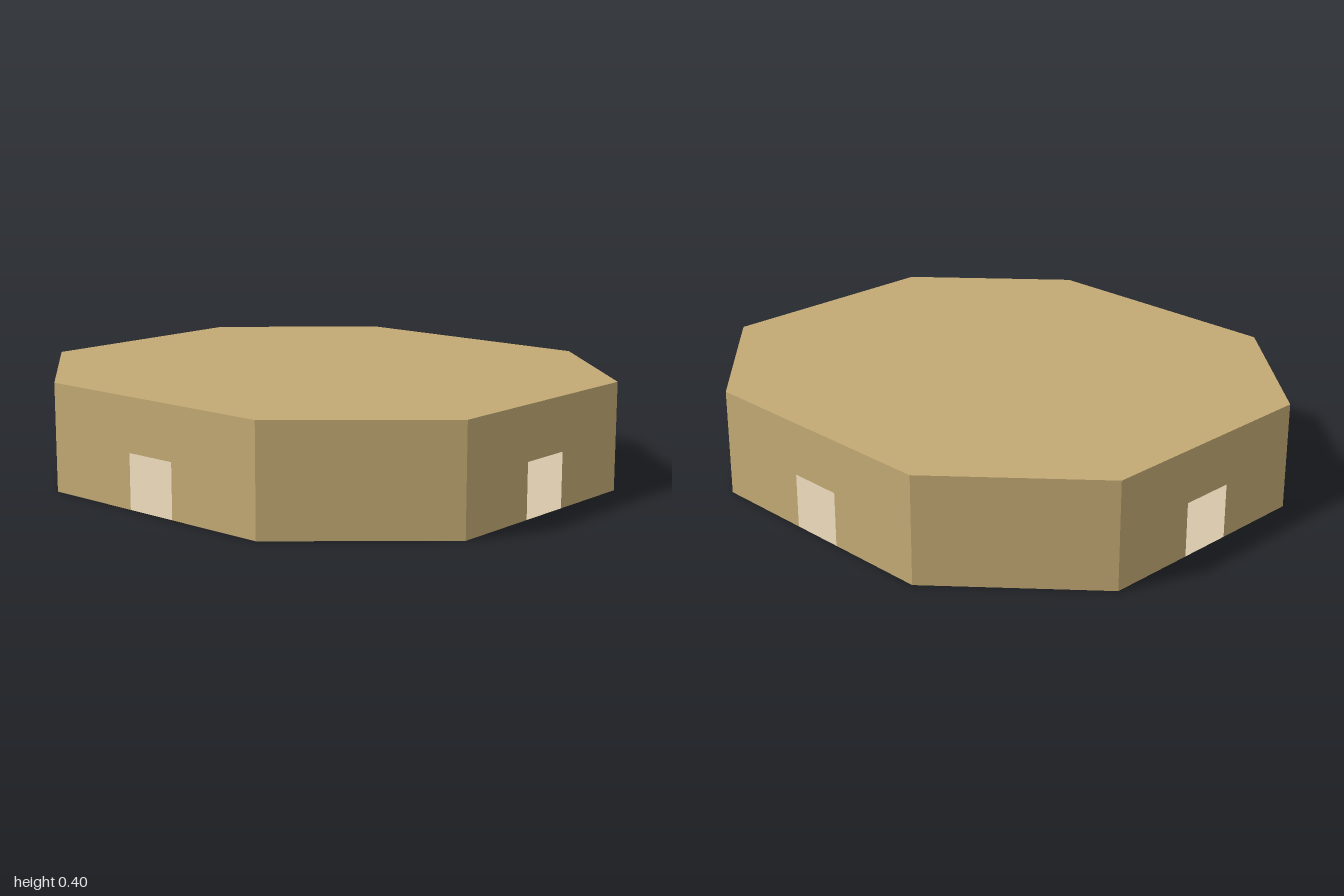
import * as THREE from 'three';

const HEIGHT = 0.4;
const DOOR_HALF = 0.104;
const DOOR_HEIGHT = 0.202;

// Corners as (x, z), going round so that each wall faces outward
const CORNERS = [
  [-0.495, 0.9], [0.495, 0.9], [1, 0.447], [1, -0.447],
  [0.495, -0.9], [-0.495, -0.9], [-1, -0.447], [-1, 0.447],
];

// Upright wall between two corners, with an optional doorway notch
function makeWall(a, b, hasDoor, material) {
  const dx = b[0] - a[0], dz = b[1] - a[1];
  const half = Math.hypot(dx, dz) / 2;
  const outline = [[-half, 0]];
  if (hasDoor) {
    outline.push([-DOOR_HALF, 0], [-DOOR_HALF, DOOR_HEIGHT], [DOOR_HALF, DOOR_HEIGHT], [DOOR_HALF, 0]);
  }
  outline.push([half, 0], [half, HEIGHT], [-half, HEIGHT]);
  const shape = new THREE.Shape(outline.map(([x, y]) => new THREE.Vector2(x, y)));
  const wall = new THREE.Mesh(new THREE.ShapeGeometry(shape), material);
  wall.position.set((a[0] + b[0]) / 2, 0, (a[1] + b[1]) / 2);
  wall.rotation.y = Math.atan2(-dz, dx);
  return wall;
}

// Flat octagonal slab facing up
function makeDeck(y, material) {
  const shape = new THREE.Shape(CORNERS.map(([x, z]) => new THREE.Vector2(x, -z)));
  const deck = new THREE.Mesh(new THREE.ShapeGeometry(shape).rotateX(-Math.PI / 2), material);
  deck.position.y = y;
  return deck;
}

export function createModel() {
  const sand = new THREE.MeshStandardMaterial({ name: 'sand', color: 0xc2a974, side: THREE.DoubleSide });
  const paleStone = new THREE.MeshStandardMaterial({ name: 'paleStone', color: 0xd6c6a9, side: THREE.DoubleSide });

  const model = new THREE.Group();
  model.name = 'octagonalHall';

  // Walls: every second one has an open doorway into the hollow inside
  CORNERS.forEach((corner, i) => {
    const hasDoor = i % 2 === 0;
    const wall = makeWall(corner, CORNERS[(i + 1) % CORNERS.length], hasDoor, sand);
    wall.name = hasDoor ? 'doorWall' : 'cornerWall';
    model.add(wall);
  });

  // Roof and floor
  const roof = makeDeck(HEIGHT, sand);
  roof.name = 'roof';
  const floor = makeDeck(0, paleStone);
  floor.name = 'floor';
  model.add(roof, floor);

  return model;
}
